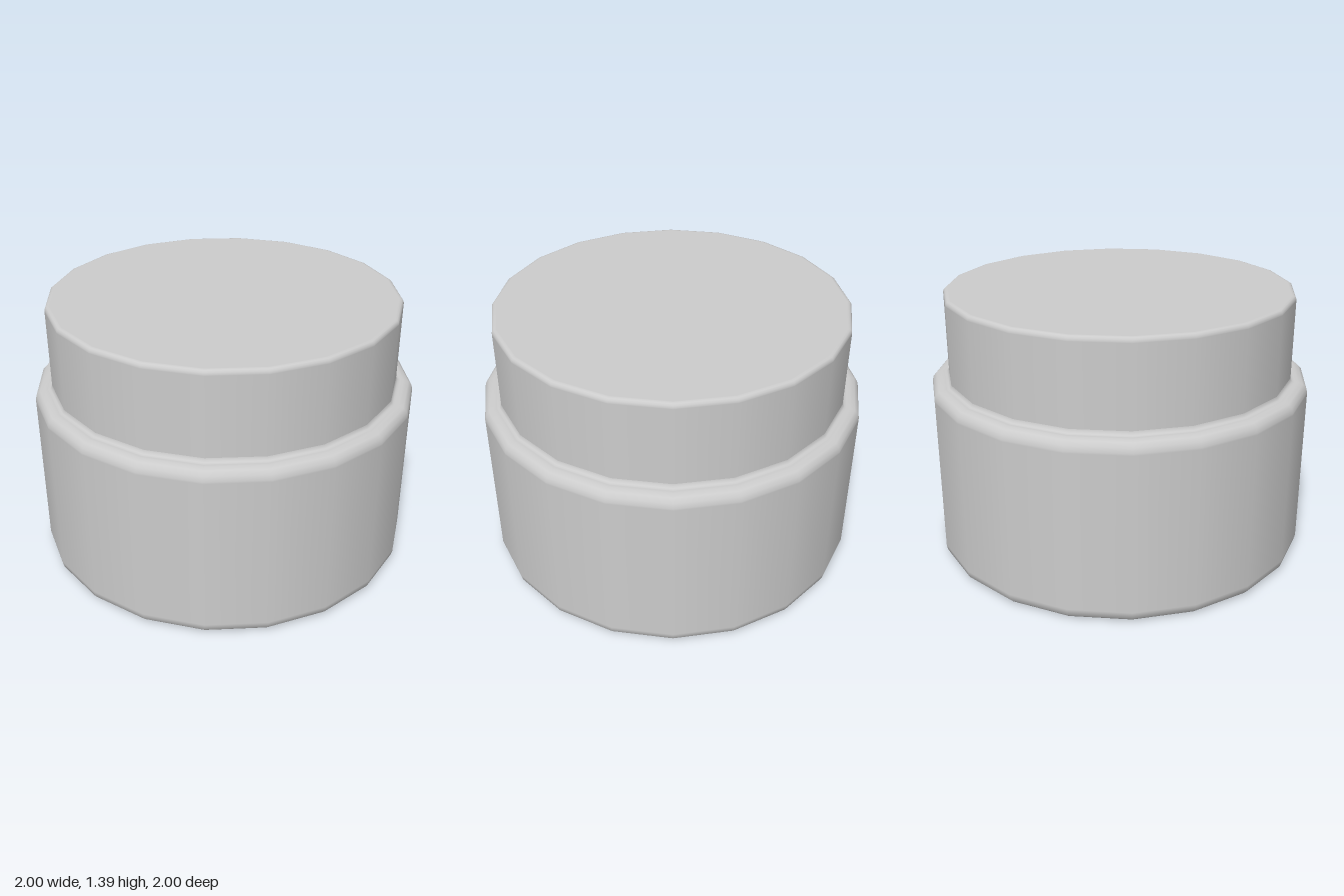
import * as THREE from 'three';

const SIDES = 20;

// Points along a quarter-round, angles in degrees
function arc(cx, cy, r, from, to, steps = 3) {
  return Array.from({ length: steps + 1 }, (_, i) => {
    const a = THREE.MathUtils.degToRad(from + ((to - from) * i) / steps);
    return new THREE.Vector2(cx + r * Math.cos(a), cy + r * Math.sin(a));
  });
}

function turned(name, points, material) {
  const mesh = new THREE.Mesh(new THREE.LatheGeometry(points, SIDES), material);
  mesh.name = name;
  return mesh;
}

export function createModel() {
  const group = new THREE.Group();
  group.name = 'jar';
  const grey = new THREE.MeshStandardMaterial({ color: 0xcccccc });
  const p = (x, y) => new THREE.Vector2(x, y);

  // Wide body: flat base, rounded lower edge, rounded shoulder, small fillet up to the lid.
  // Extra points beside the edges keep the flat areas evenly shaded.
  group.add(turned('body', [
    p(0, 0), p(0.945, 0),
    ...arc(0.95, 0.05, 0.05, -90, 0),
    p(1, 0.06), p(1, 0.88),
    ...arc(0.95, 0.89, 0.05, 0, 90),
    p(0.935, 0.94),
    ...arc(0.93, 0.96, 0.02, 270, 180),
  ], grey));

  // Narrower lid with a softly rounded rim and flat top
  group.add(turned('lid', [
    p(0.91, 0.96), p(0.91, 1.37),
    ...arc(0.89, 1.375, 0.02, 0, 90),
    p(0.885, 1.395), p(0, 1.395),
  ], grey));

  return group;
}
